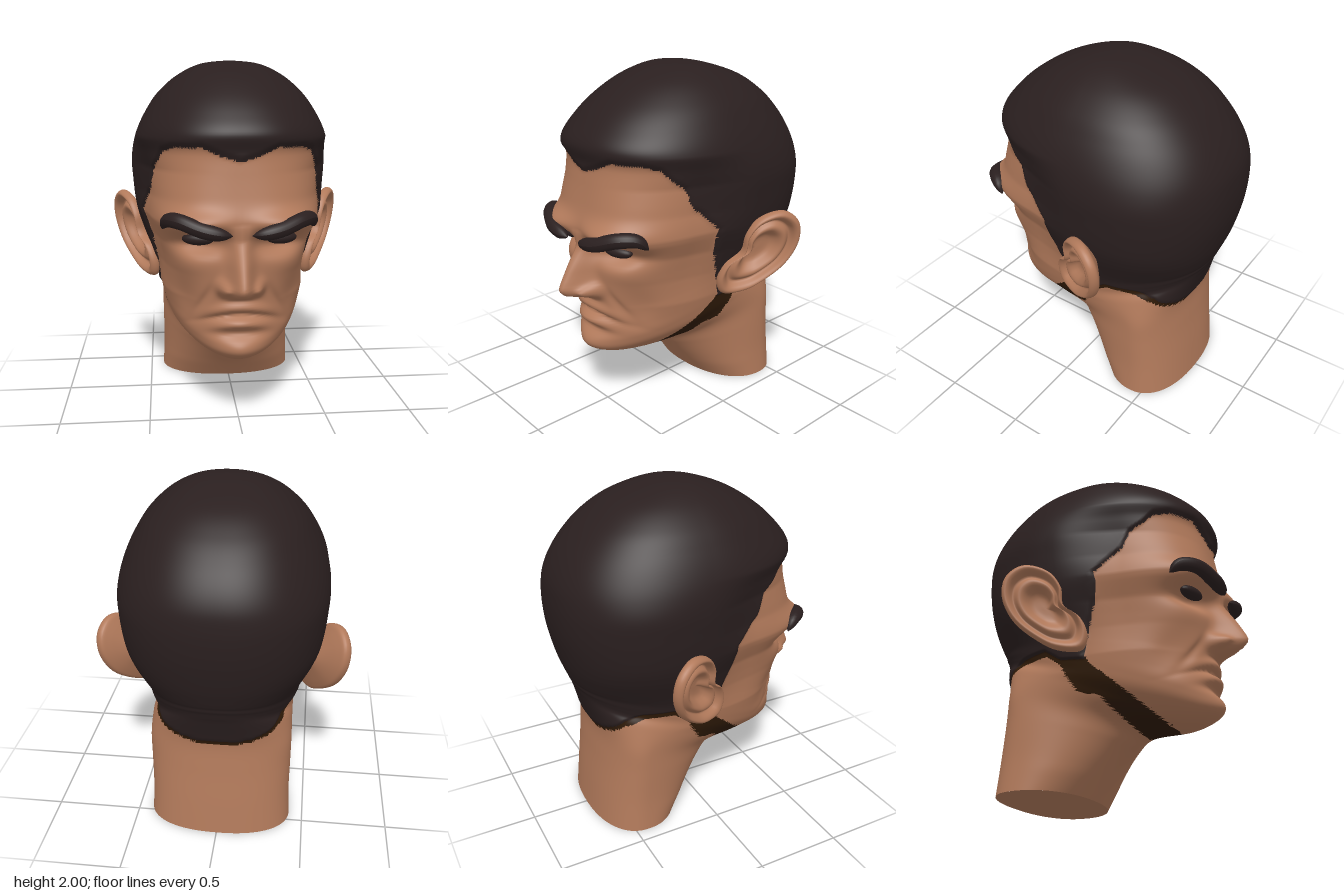
import * as THREE from 'three';

const skin = new THREE.MeshStandardMaterial({ color: 0xb27a5b });
skin.name = 'skin';
const hair = new THREE.MeshStandardMaterial({ color: 0x2a1f1f });
hair.name = 'dark hair';
const stubble = new THREE.MeshStandardMaterial({ color: 0x2e1a08 });
stubble.name = 'brown hair edge';

// Piecewise linear lookup, keys ascending
function look(table, v) {
  if (v <= table[0][0]) return table[0][1];
  for (let i = 1; i < table.length; i++) {
    const [k0, a] = table[i - 1], [k1, b] = table[i];
    if (v <= k1) return a + (b - a) * (v - k0) / (k1 - k0);
  }
  return table[table.length - 1][1];
}

// Smooth interpolation through table rows
function rowAt(rows, t) {
  const i = Math.min(Math.floor(t), rows.length - 2), f = t - i;
  const r = k => rows[Math.max(0, Math.min(rows.length - 1, k))];
  return rows[0].map((_, k) => {
    const [a, b, c, d] = [r(i - 1)[k], r(i)[k], r(i + 1)[k], r(i + 2)[k]];
    return b + 0.5 * f * (c - a + f * (2 * a - 5 * b + 4 * c - d + f * (3 * (b - c) + d - a)));
  });
}

const gauss = (dx, dy, sx, sy) => Math.exp(-((dx / sx) ** 2) - (dy / sy) ** 2);
const { smoothstep } = THREE.MathUtils;

// Closed-loop grid surface; pick(x, y, z) gives a material index per triangle
function gridSurface(nu, nv, fn, flip = false, pick = null) {
  const pos = [];
  for (let i = 0; i <= nu; i++) for (let j = 0; j < nv; j++) pos.push(...fn(i, j));
  const lists = [[], [], []];
  const tri = (a, b, c) => {
    const mid = k => (pos[a * 3 + k] + pos[b * 3 + k] + pos[c * 3 + k]) / 3;
    lists[pick ? pick(mid(0), mid(1), mid(2)) : 0].push(...(flip ? [a, c, b] : [a, b, c]));
  };
  for (let i = 0; i < nu; i++) for (let j = 0; j < nv; j++) {
    const a = i * nv + j, c = i * nv + (j + 1) % nv;
    tri(a, a + nv, c);
    tri(c, a + nv, c + nv);
  }
  const geo = new THREE.BufferGeometry();
  geo.setAttribute('position', new THREE.Float32BufferAttribute(pos, 3));
  geo.setIndex(lists.flat());
  let start = 0;
  if (pick) lists.forEach((l, m) => { geo.addGroup(start, l.length, m); start += l.length; });
  geo.computeVertexNormals();
  return geo;
}

// Tilted head sections: front z, front y, back z, back y, half width, z of widest point
const SECTIONS = [
  [-0.05, 1.985, -0.05, 1.985, 0, -0.05], [0.1, 1.965, -0.2, 1.965, 0.17, -0.05],
  [0.28, 1.9, -0.415, 1.895, 0.31, -0.06], [0.44, 1.8, -0.56, 1.8, 0.42, -0.07],
  [0.55, 1.7, -0.66, 1.7, 0.488, -0.07], [0.62, 1.6, -0.73, 1.6, 0.537, -0.08],
  [0.605, 1.5, -0.772, 1.5, 0.567, -0.12], [0.615, 1.4, -0.785, 1.4, 0.577, -0.18],
  [0.635, 1.28, -0.785, 1.3, 0.57, -0.2], [0.655, 1.18, -0.775, 1.2, 0.56, -0.2],
  [0.655, 1.1, -0.755, 1.1, 0.543, -0.2], [0.635, 1.0, -0.735, 1.02, 0.515, -0.18],
  [0.62, 0.88, -0.715, 0.96, 0.482, -0.15], [0.608, 0.76, -0.7, 0.92, 0.455, -0.12],
  [0.6, 0.66, -0.69, 0.9, 0.44, -0.1], [0.6, 0.56, -0.685, 0.88, 0.43, -0.1],
  [0.62, 0.46, -0.675, 0.86, 0.42, -0.11], [0.59, 0.39, -0.665, 0.83, 0.412, -0.13],
  [0.46, 0.342, -0.645, 0.77, 0.412, -0.27], [0.22, 0.34, -0.605, 0.6, 0.415, -0.39],
  [0.1, 0.27, -0.615, 0.42, 0.414, -0.4], [-0.02, 0.15, -0.64, 0.2, 0.412, -0.41],
  [-0.14, 0, -0.66, 0, 0.42, -0.42],
];
const ROUNDNESS = [[0.1, 2.2], [0.27, 1.85], [0.345, 1.75], [0.39, 1.82], [0.5, 2], [0.7, 2.3], [0.9, 2.7], [1.1, 3.2], [1.3, 2.8], [1.5, 2.3], [2, 2]];
// Narrowing of the face in front of the ears, by height
const PINCH = [[0.7, 0], [0.85, 0.08], [1, 0.12], [1.13, 0.08], [1.25, 0.12], [1.4, 0.12], [1.48, 0.07], [1.56, 0]];

// Hair outline
const HAIRLINE = [[0, 1.46], [0.1, 1.49], [0.2, 1.535], [0.35, 1.53], [0.42, 1.5]];
const TEMPLE = [[0.72, 0], [0.9, 0.05], [1.02, 0.09], [1.15, 0.1], [1.25, 0.2], [1.29, 0.25], [1.4, 0.29], [1.45, 0.36], [1.55, 0.45]];
const NAPE = [[-0.61, 0.62], [-0.58, 0.67], [-0.52, 0.73], [-0.42, 0.765], [-0.25, 0.77], [-0.15, 0.7], [0, 0.68]];
const JAW_TOP = [[0.33, 0.38], [0.5, 0.2], [0.66, 0.02], [0.73, -0.02]];
const JAW_LOW = [[0.33, 0.18], [0.49, 0.05], [0.51, -0.06], [0.6, -0.12], [0.68, -0.16], [0.77, -0.25]];
function hairDepth(x, y, z) {
  const top = z > 0 ? y - look(HAIRLINE, Math.abs(x)) : -1;
  return Math.min(Math.max(top, look(TEMPLE, y) - z), y - look(NAPE, z));
}
function pickColour(x, y, z) {
  if (hairDepth(x, y, z) > 0) return 1;
  const jaw = y > 0.32 && y < 0.73 && z < look(JAW_TOP, y) && z > look(JAW_LOW, y);
  const nape = z < -0.15 && y > look(NAPE, z) - 0.03;
  return jaw || nape ? 2 : 0;
}

// Facial relief added towards the front
const NOSE = [[0.72, 0], [0.75, 0.09], [0.775, 0.165], [0.81, 0.195], [0.85, 0.175], [0.92, 0.13], [1, 0.075], [1.05, 0.035], [1.14, 0]];
const NOSE_WIDTH = [[0.76, 0.07], [0.82, 0.07], [0.9, 0.06], [1, 0.055], [1.1, 0.06]];
function relief(x, y) {
  const a = Math.abs(x), m = y + x * x;
  let d = look(NOSE, y) * Math.exp(-((a / look(NOSE_WIDTH, y)) ** 2.2));
  d += 0.08 * gauss(a - 0.09, y - 0.795, 0.035, 0.035);    // nostril wings
  d -= 0.12 * gauss(a - 0.22, y - 1.03, 0.13, 0.06);       // eye sockets
  d += 0.035 * gauss(a - 0.22, y - 1.035, 0.08, 0.03);     // eyelids
  d += 0.06 * gauss(a - 0.24, y - 1.145, 0.18, 0.055);     // brow ridge
  d += 0.015 * gauss(a - 0.31, y - 0.9, 0.1, 0.07);        // cheekbones
  d -= 0.025 * gauss(a - 0.3, y - 0.7, 0.07, 0.1);         // cheek hollows
  d -= 0.015 * gauss(a - 0.15 - (0.8 - y) * 0.5, y - 0.7, 0.025, 0.1);
  d += 0.025 * gauss(a, m - 0.678, 0.17, 0.028);           // upper lip
  d -= 0.024 * gauss(a, m - 0.635, 0.19, 0.014);           // mouth line
  d += 0.04 * gauss(a, m - 0.588, 0.14, 0.03);             // lower lip
  d -= 0.02 * gauss(a, y - 0.525, 0.13, 0.025);
  d += 0.025 * gauss(a, y - 0.44, 0.13, 0.05);             // chin
  return d;
}

const STEPS = 8, COLS = 320;
function headPoint(i, j) {
  const [zf, yf, zb, yb, w, c] = rowAt(SECTIONS, i / STEPS);
  const u = (j / COLS) * Math.PI * 2, th = u - 0.25 * Math.sin(u);
  const s = Math.sin(th), k = Math.cos(th), front = k > 0;
  const e = 2 / (front ? look(ROUNDNESS, yf) : 2.3);
  let x = w * Math.sign(s) * Math.abs(s) ** e;
  let z = c + (front ? zf - c : zb - c) * Math.abs(k) ** e;
  const f = zf - zb > 1e-6 ? (z - zb) / (zf - zb) : 0;
  const y = yb + (yf - yb) * f;
  x *= 1 - look(PINCH, y) * smoothstep(z, -0.15, 0.25);
  z += relief(x, y) * smoothstep(z, 0.22, 0.48);
  // Hair stands slightly proud of the skin
  const lift = 0.016 * smoothstep(hairDepth(x, y, z), -0.005, 0.025);
  const out = new THREE.Vector3(x, (y - 1.2) * 0.9, z + 0.1).normalize();
  return [x + out.x * lift, y + out.y * lift, z + out.z * lift];
}

// Ear outline (z, y) and its cross profile (share of radius, height)
const EAR = [[-0.15, 1.17], [-0.09, 1.08], [-0.08, 0.97], [0, 0.9], [0.03, 0.8], [0, 0.72], [-0.12, 0.72],
  [-0.22, 0.775], [-0.33, 0.88], [-0.383, 1.02], [-0.36, 1.14], [-0.27, 1.205]];
const EAR_PROFILE = [[0, -0.045], [0.3, -0.04], [0.5, 0.005], [0.62, 0.01], [0.74, -0.015], [0.84, 0.02],
  [0.93, 0.03], [1, 0.01], [0.99, -0.02], [0.85, -0.04], [0.6, -0.065], [0, -0.12]];
function earGeometry(side) {
  const curve = new THREE.CatmullRomCurve3(EAR.map(([z, y]) => new THREE.Vector3(0, y, z)), true);
  const rim = curve.getPoints(56);
  const n = new THREE.Vector3(1, -0.145, 0.5).normalize();
  const NU = 44;
  return gridSurface(NU, 56, (i, j) => {
    const [s, h] = rowAt(EAR_PROFILE, (i / NU) * (EAR_PROFILE.length - 1));
    const y = 0.97 + (rim[j].y - 0.97) * s, z = -0.18 + (rim[j].z + 0.18) * s;
    const x = 0.355 - 0.5 * z + 0.145 * y;
    return [side * (x + n.x * h), y + n.y * h, z + n.z * h];
  }, side < 0);
}

// Tube with tapered ends
function taperedTube(points, radius) {
  const curve = new THREE.CatmullRomCurve3(points.map(p => new THREE.Vector3(...p)));
  const geo = new THREE.TubeGeometry(curve, 32, radius, 12);
  const p = geo.attributes.position, v = new THREE.Vector3();
  for (let i = 0; i < p.count; i++) {
    const t = Math.floor(i / 13) / 32, c = curve.getPointAt(t);
    v.fromBufferAttribute(p, i).sub(c).multiplyScalar(Math.max(0.02, 1 - Math.abs(2 * t - 1) ** 5)).add(c);
    p.setXYZ(i, v.x, v.y, v.z);
  }
  geo.computeVertexNormals();
  return geo;
}

export function createModel() {
  const model = new THREE.Group();
  model.name = 'head bust';
  const add = (name, geo, mat) => {
    const mesh = new THREE.Mesh(geo, mat);
    mesh.name = name;
    model.add(mesh);
    return mesh;
  };
  const rows = (SECTIONS.length - 1) * STEPS;
  add('headAndNeck', gridSurface(rows, COLS, headPoint, false, pickColour), [skin, hair, stubble]);

  // Flat neck base
  const base = [];
  for (let j = 0; j < COLS; j += 4) {
    const [x, , z] = headPoint(rows, j);
    base.push(new THREE.Vector2(x, z));
  }
  add('neckBase', new THREE.ShapeGeometry(new THREE.Shape(base)).rotateX(Math.PI / 2), skin);

  for (const side of [1, -1]) {
    const label = side > 0 ? 'left' : 'right';
    add(label + 'Ear', earGeometry(side), skin);
    const brow = [[0.05, 1.09, 0.7], [0.12, 1.1, 0.7], [0.21, 1.12, 0.685], [0.32, 1.157, 0.63], [0.385, 1.152, 0.555], [0.415, 1.1, 0.505]];
    add(label + 'Eyebrow', taperedTube(brow.map(([x, y, z]) => [x * side, y, z]), 0.042), hair);
    const eye = add(label + 'Eye', new THREE.SphereGeometry(1, 24, 16), hair);
    eye.scale.set(0.088, 0.034, 0.04);
    eye.position.set(0.225 * side, 1.052, 0.56);
    eye.rotation.y = 0.3 * side;
  }
  return model;
}
